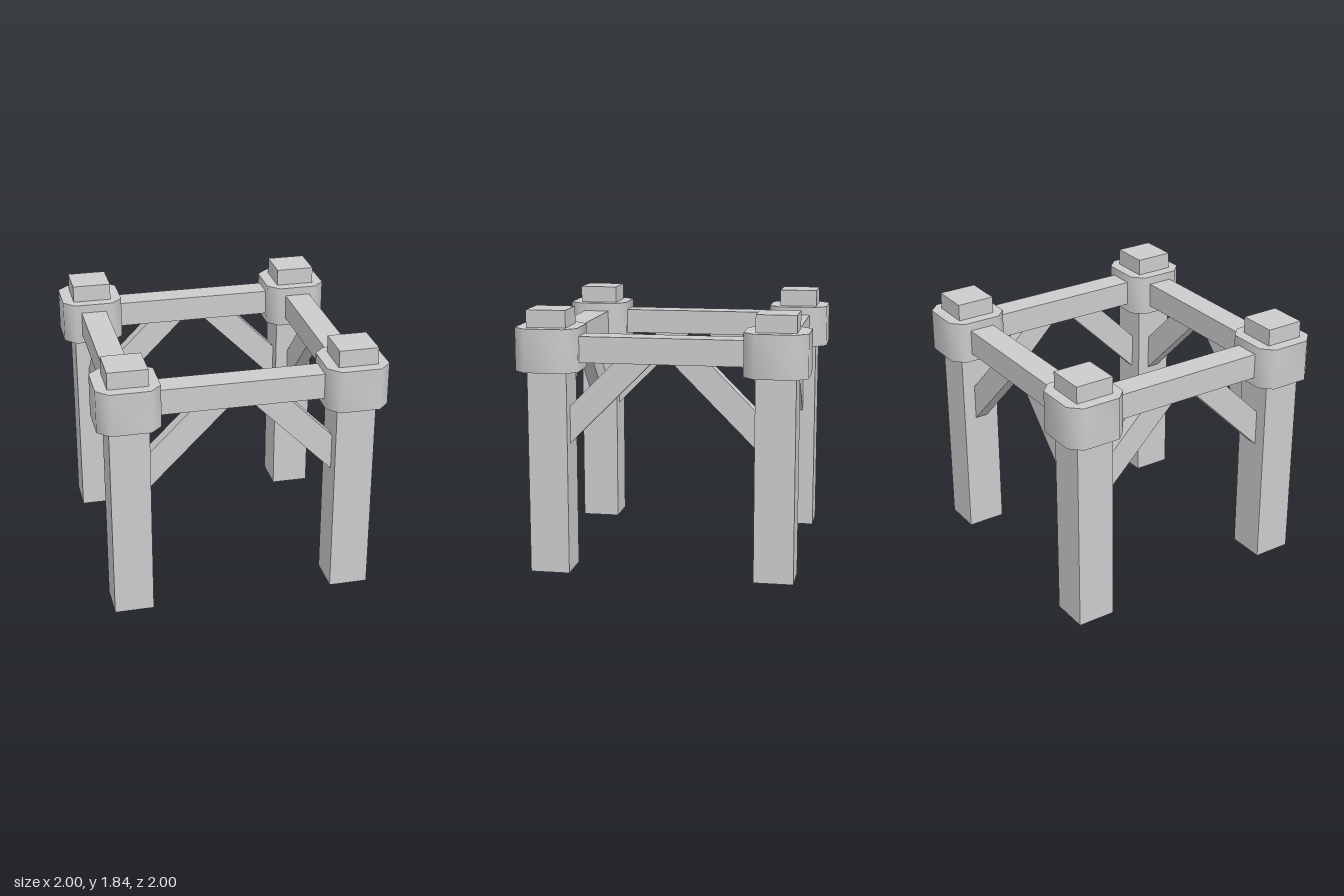
import * as THREE from 'three';
import { toCreasedNormals } from 'three/addons/utils/BufferGeometryUtils.js';

const material = new THREE.MeshStandardMaterial({ color: 0xcccccc });
const C = 0.7825; // post centre distance from the middle axes
const POST = 0.275; // post width
const INNER = C - POST / 2; // inner face of the posts

// Extrude a list of [x, y] points, centred on z = 0
function prism(points, depth) {
  const shape = new THREE.Shape(points.map(([x, y]) => new THREE.Vector2(x, y)));
  return new THREE.ExtrudeGeometry(shape, { depth, bevelEnabled: false }).translate(0, 0, -depth / 2);
}

function add(parent, name, geometry, x = 0, y = 0, z = 0) {
  const mesh = new THREE.Mesh(geometry, material);
  mesh.name = name;
  mesh.position.set(x, y, z);
  parent.add(mesh);
}

export function createModel() {
  const model = new THREE.Group();
  model.name = 'timberFrame';

  const postGeo = new THREE.BoxGeometry(POST, 1.84, POST);
  const beamGeo = new THREE.BoxGeometry(INNER * 2, 0.18, 0.184);

  // Collar: square with cut corners, shaded smoothly around its sides
  const h = 0.2175, k = 0.1375;
  const collarGeo = toCreasedNormals(
    prism([[h, -k], [h, k], [k, h], [-k, h], [-h, k], [-h, -k], [-k, -h], [k, -h]], 0.3).rotateX(-Math.PI / 2),
    0.9
  );

  // Diagonal braces, cut flush against post and beam
  const braceShape = [[INNER, 0.91], [INNER, 1.17], [0.335, 1.48], [0.075, 1.48]];
  const braceGeo = prism(braceShape, 0.092);
  const mirroredBraceGeo = prism(braceShape.map(([x, y]) => [-x, y]).reverse(), 0.092);

  // Each of the four sides brings one corner post, its collar, a beam and two braces
  ['front', 'left', 'back', 'right'].forEach((label, i) => {
    const side = new THREE.Group();
    side.name = label + 'Side';
    side.rotation.y = (i * Math.PI) / 2;
    add(side, 'post', postGeo, C, 0.92, C);
    add(side, 'collar', collarGeo, C, 1.57, C);
    add(side, 'beam', beamGeo, 0, 1.57, C);
    add(side, 'brace', braceGeo, 0, 0, C);
    add(side, 'brace', mirroredBraceGeo, 0, 0, C);
    model.add(side);
  });

  return model;
}
